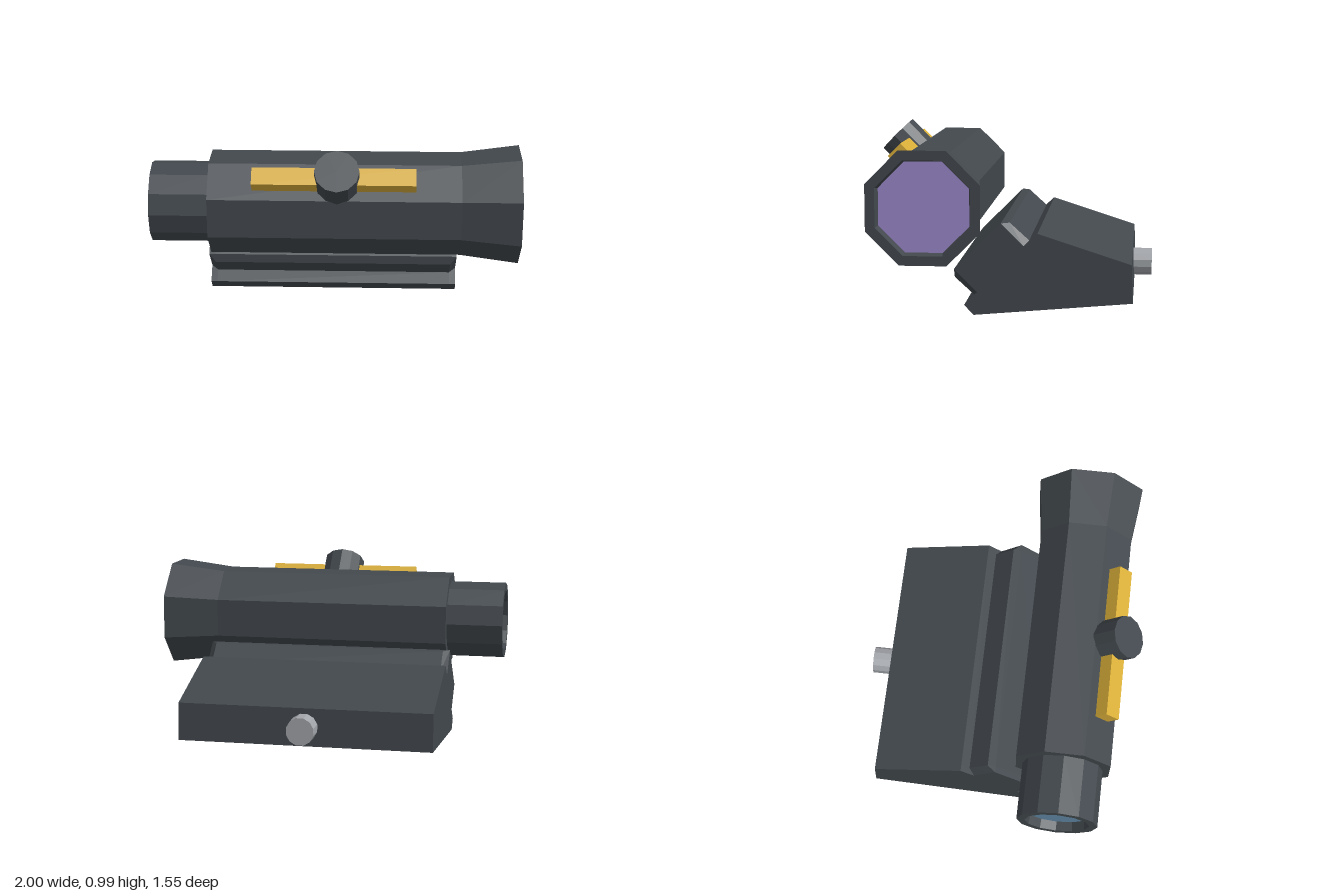
import * as THREE from 'three';

const mat = (name, color) => {
  const m = new THREE.MeshStandardMaterial({ color });
  m.name = name;
  return m;
};

// faceted normals
function faceted(geo) {
  const g = geo.index ? geo.toNonIndexed() : geo;
  g.computeVertexNormals();
  return g;
}

export function createModel() {
  const gunmetal = mat('gunmetal', 0x42484d);
  const gold = mat('gold', 0xd9ae38);
  const steel = mat('steel', 0xa2a5aa);
  const frontGlass = mat('violetGlass', 0x9b87c9);
  const rearGlass = mat('blueGlass', 0x628aa8);

  const model = new THREE.Group();
  model.name = 'opticalSight';
  const add = (parent, name, geo, material) => {
    const mesh = new THREE.Mesh(faceted(geo), material);
    mesh.name = name;
    parent.add(mesh);
    return mesh;
  };

  // Scope: everything is centred on the tube's axis, which runs along x
  const scope = new THREE.Group();
  scope.name = 'scope';
  scope.position.set(0, 0.622, 0.402);
  model.add(scope);

  // points are [radius, x]
  const turned = (points, sides, start) =>
    new THREE.LatheGeometry(points.map(p => new THREE.Vector2(...p)), sides, start).rotateZ(-Math.PI / 2);

  add(scope, 'tube', turned([
    [0, -0.68], [0.281, -0.68], [0.281, 0.68], [0.323, 1], [0.268, 1], [0.257, 0.95],
  ], 8, Math.PI / 8), gunmetal);
  add(scope, 'eyepiece', turned([
    [0.172, -0.95], [0.178, -1], [0.222, -1], [0.222, -0.68],
  ], 12, 0), gunmetal);
  add(scope, 'frontLens', new THREE.CircleGeometry(0.257, 8, Math.PI / 8)
    .rotateY(Math.PI / 2).translate(0.95, 0, 0), frontGlass);
  add(scope, 'rearLens', new THREE.CircleGeometry(0.172, 12)
    .rotateY(-Math.PI / 2).translate(-0.95, 0, 0), rearGlass);

  // Knob and gold strip on the upper front facet; local +y points out of it
  const facet = new THREE.Group();
  facet.name = 'facetFittings';
  facet.rotation.x = Math.PI / 4;
  scope.add(facet);
  add(facet, 'adjustmentKnob', new THREE.CylinderGeometry(0.12, 0.12, 0.157, 12)
    .translate(0.015, 0.328, 0), gunmetal);
  add(facet, 'goldStrip', new THREE.BoxGeometry(0.875, 0.09, 0.1)
    .translate(-0.002, 0.295, 0), gold);

  // Mount: [z, y] section; rail edges taper to the second pair at both ends
  const section = [
    [0.03, 0.5], [-0.015, 0.5, 0.03, 0.5], [-0.12, 0.405, -0.091, 0.379], [-0.166, 0.447],
    [-0.668, 0.285], [-0.676, 0.077], [0.178, 0], [0.228, 0.054],
    [0.178, 0.105, 0.158, 0.125], [0.282, 0.2, 0.282, 0.249], [0.282, 0.249],
  ];
  const full = section.map(p => [p[0], p[1]]);
  const tapered = section.map(p => p.slice(-2));
  const rings = [[-0.72, tapered], [-0.685, full], [0.645, full], [0.68, tapered]]
    .map(([x, ring]) => ring.map(([z, y]) => [x, y, z]));
  const verts = [];
  const tri = (a, b, c) => verts.push(...a, ...b, ...c);
  const n = section.length;
  for (let r = 0; r < 3; r++) {
    for (let i = 0; i < n; i++) {
      const j = (i + 1) % n;
      const [a, b, c, d] = [rings[r][i], rings[r + 1][i], rings[r + 1][j], rings[r][j]];
      tri(a, b, c);
      tri(a, c, d);
    }
  }
  // end caps, without the doubled corners
  const capIds = [0, 2, 3, 4, 5, 6, 7, 8, 10];
  const outline = capIds.map(i => new THREE.Vector2(...tapered[i]));
  for (const face of THREE.ShapeUtils.triangulateShape(outline, [])) {
    const [a, b, c] = face.map(k => capIds[k]);
    const p = outline[face[0]], q = outline[face[1]], s = outline[face[2]];
    const turn = (q.x - p.x) * (s.y - p.y) - (q.y - p.y) * (s.x - p.x);
    const [u, v] = turn > 0 ? [c, b] : [b, c]; // clockwise in (z, y) faces +x
    tri(rings[3][a], rings[3][u], rings[3][v]);
    tri(rings[0][a], rings[0][v], rings[0][u]);
  }
  const mountGeo = new THREE.BufferGeometry();
  mountGeo.setAttribute('position', new THREE.Float32BufferAttribute(verts, 3));
  add(model, 'mount', mountGeo, gunmetal);

  // Clamp bolt at the back of the mount
  add(model, 'clampBolt', new THREE.CylinderGeometry(0.077, 0.077, 0.115, 12)
    .rotateY(Math.PI / 12).rotateX(Math.PI / 2).translate(-0.02, 0.18, -0.718), steel);

  return model;
}
